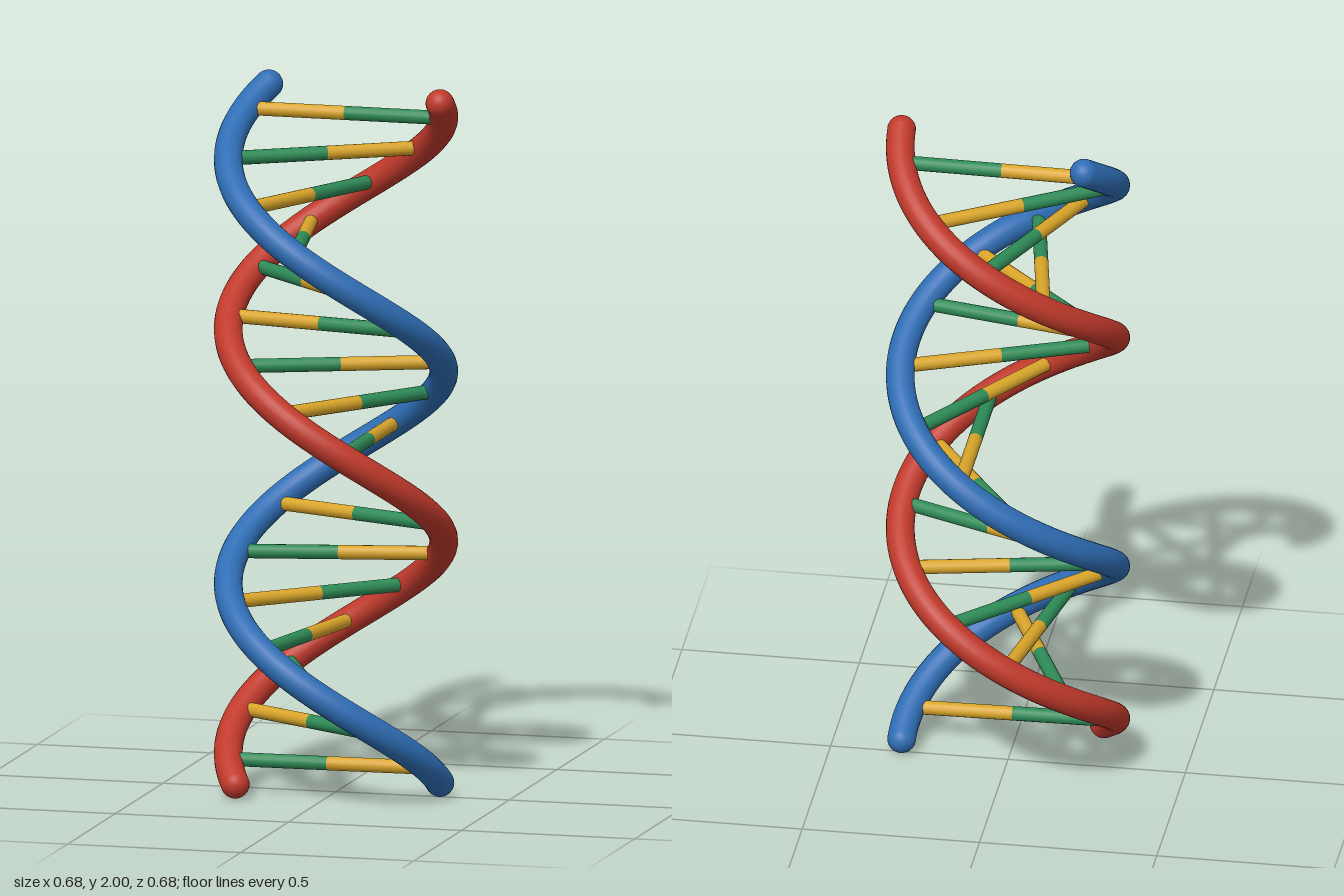
import * as THREE from 'three';

const RADIUS = 0.3, TUBE = 0.04, RUNG = 0.02;
const Y0 = 0.04, HEIGHT = 1.92, TURNS = 1.6, RUNGS = 17;
const OFFSET = 0.4 * Math.PI * 2; // angle between the two strands

function helixPoint(t, phase, target = new THREE.Vector3()) {
  const a = t * TURNS * Math.PI * 2 + phase;
  return target.set(RADIUS * Math.cos(a), Y0 + HEIGHT * t, RADIUS * Math.sin(a));
}

class Helix extends THREE.Curve {
  constructor(phase) {
    super();
    this.phase = phase;
  }
  getPoint(t, target) {
    return helixPoint(t, this.phase, target);
  }
}

function material(name, color) {
  const m = new THREE.MeshStandardMaterial({ color });
  m.name = name;
  return m;
}

function addMesh(parent, name, geometry, mat) {
  const mesh = new THREE.Mesh(geometry, mat);
  mesh.name = name;
  parent.add(mesh);
  return mesh;
}

// Helical tube with rounded ends
function makeStrand(name, phase, mat) {
  const strand = new THREE.Group();
  strand.name = name;
  addMesh(strand, name + 'Tube', new THREE.TubeGeometry(new Helix(phase), 200, TUBE, 20, false), mat);
  for (const t of [0, 1]) {
    addMesh(strand, name + (t ? 'TopCap' : 'BottomCap'), new THREE.SphereGeometry(TUBE, 24, 16), mat)
      .position.copy(helixPoint(t, phase));
  }
  return strand;
}

// Round bar between two points
function addBar(parent, name, from, to, mat) {
  const dir = to.clone().sub(from);
  const bar = addMesh(parent, name, new THREE.CylinderGeometry(RUNG, RUNG, dir.length(), 16), mat);
  bar.position.copy(from).add(to).multiplyScalar(0.5);
  bar.quaternion.setFromUnitVectors(new THREE.Vector3(0, 1, 0), dir.normalize());
}

export function createModel() {
  const model = new THREE.Group();
  model.name = 'doubleHelix';
  const red = material('strandRed', 0xc0392b);
  const blue = material('strandBlue', 0x2e6db4);
  const green = material('rungGreen', 0x2e8b57);
  const yellow = material('rungYellow', 0xd9a52a);

  model.add(makeStrand('blueStrand', 0, blue), makeStrand('redStrand', OFFSET, red));

  // Two-coloured rungs, swapping colours at every step
  for (let i = 0; i < RUNGS; i++) {
    const t = (i + 0.5) / RUNGS;
    const a = helixPoint(t, 0), b = helixPoint(t, OFFSET);
    const mid = a.clone().add(b).multiplyScalar(0.5);
    const rung = new THREE.Group();
    rung.name = 'rung' + (i + 1);
    addBar(rung, 'blueSideHalf', a, mid, i % 2 ? green : yellow);
    addBar(rung, 'redSideHalf', mid, b, i % 2 ? yellow : green);
    model.add(rung);
  }
  return model;
}
